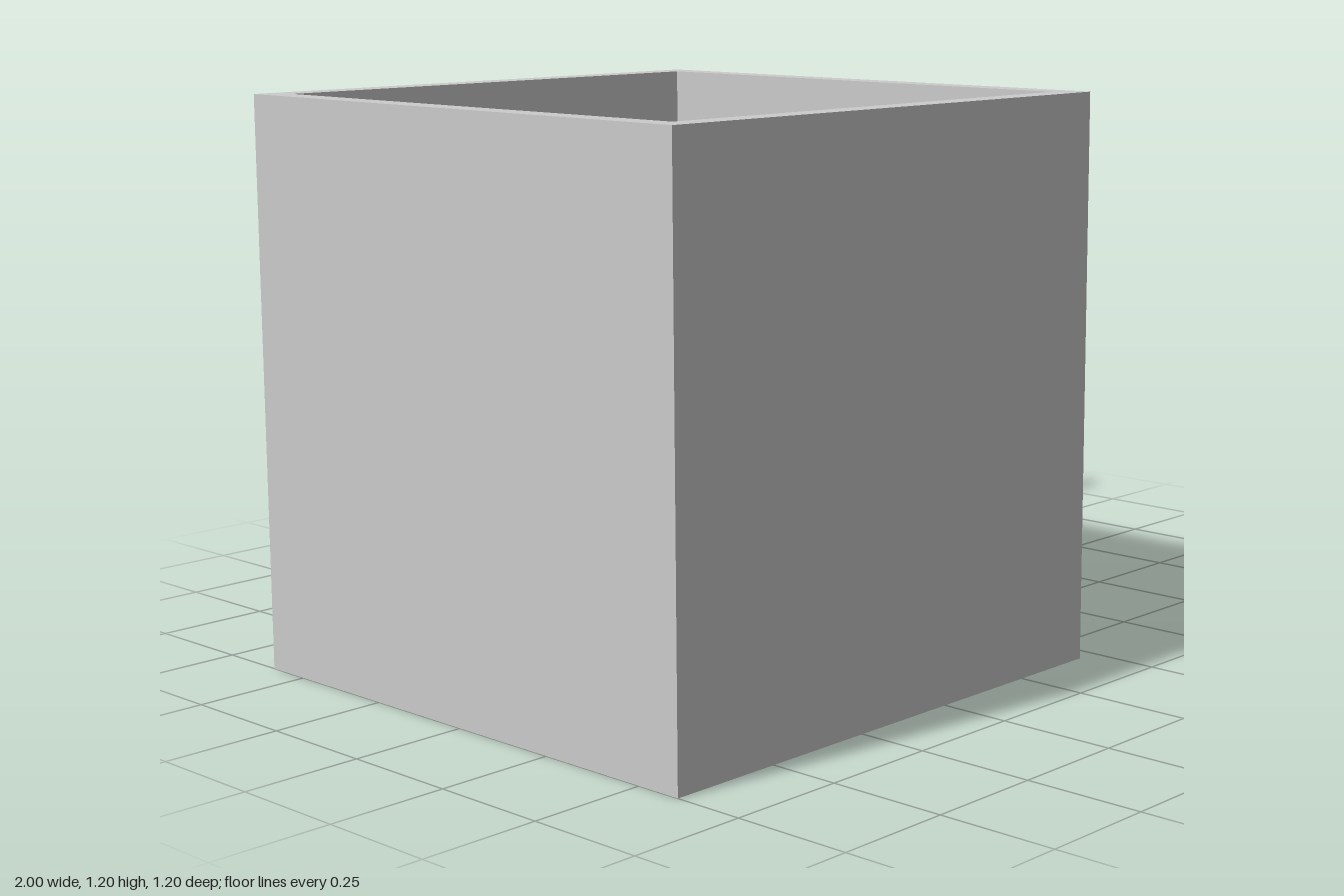
import * as THREE from 'three';

const grey = new THREE.MeshStandardMaterial({ color: 0xcccccc });
const dark = new THREE.MeshStandardMaterial({ color: 0x6b6b6b });
const green = new THREE.MeshStandardMaterial({ color: 0x00ff00, side: THREE.DoubleSide });

function add(parent, name, geometry, material, x = 0, y = 0, z = 0) {
  const mesh = new THREE.Mesh(geometry, material);
  mesh.name = name;
  mesh.position.set(x, y, z);
  parent.add(mesh);
  return mesh;
}

// closed square outline centred on the origin
function square(PathType, half) {
  const p = new PathType();
  p.moveTo(-half, -half);
  p.lineTo(half, -half);
  p.lineTo(half, half);
  p.lineTo(-half, half);
  p.closePath();
  return p;
}

export function createModel() {
  const model = new THREE.Group();
  const boxX = -0.4, floorY = 0.71, inner = 0.545;

  // square box walls, open at the top
  const outline = square(THREE.Shape, 0.6);
  outline.holes.push(square(THREE.Path, inner));
  const walls = new THREE.ExtrudeGeometry(outline, { depth: 1.2, bevelEnabled: false });
  walls.rotateX(-Math.PI / 2);
  add(model, 'boxWalls', walls, grey, boxX, 0, 0);

  // raised floor filling the lower part of the box
  add(model, 'boxFloor', new THREE.BoxGeometry(inner * 2, floorY, inner * 2), grey, boxX, floorY / 2, 0);

  // thin upright tab on the floor
  add(model, 'tab', new THREE.BoxGeometry(0.095, 0.09, 0.004), grey, -0.593, floorY + 0.045, -0.045);

  // hollow tube through the side wall
  const profile = [[0.028, 0], [0.031, 0], [0.031, 0.93], [0.028, 0.93], [0.028, 0]];
  const pipe = new THREE.Group();
  pipe.name = 'pipe';
  profile.slice(1).forEach((end, i) => {
    const pts = [profile[i], end].map(([r, h]) => new THREE.Vector2(r, h));
    add(pipe, 'pipeSurface', new THREE.LatheGeometry(pts, 32), green);
  });
  pipe.rotation.z = -Math.PI / 2;
  pipe.position.set(0.07, 0.757, -0.51);
  model.add(pipe);

  // floating discs, stepped in height: [x, y, z]
  const disc = new THREE.CylinderGeometry(0.042, 0.042, 0.018, 32);
  const rim = [
    [-0.75, 1.02, 0.115], [-0.675, 1.02, 0.045], [-0.675, 0.975, 0.24], [-0.635, 0.97, 0.335],
    [-0.565, 0.97, 0.405], [-0.505, 0.88, 0.115], [-0.467, 0.925, 0.39], [-0.36, 0.925, 0.44],
    [-0.263, 0.88, 0.335], [-0.16, 0.925, 0.31], [-0.065, 0.925, 0.295], [-0.037, 0.925, 0.195],
    [-0.037, 0.925, 0.07], [-0.133, 0.925, -0.01],
  ];
  const core = [
    [-0.655, 0.975, 0.14], [-0.597, 0.925, 0.213], [-0.548, 0.925, 0.31], [-0.507, 0.875, 0.213],
    [-0.41, 0.83, 0.165], [-0.388, 0.875, 0.335], [-0.315, 0.83, 0.165], [-0.315, 0.83, 0.262],
    [-0.218, 0.83, 0.165], [-0.14, 0.88, 0.23], [-0.14, 0.88, 0.095],
  ];
  for (const [x, y, z] of rim) add(model, 'rimDisc', disc, dark, x, y, z);
  for (const [x, y, z] of core) add(model, 'coreDisc', disc, grey, x, y, z);

  return model;
}
